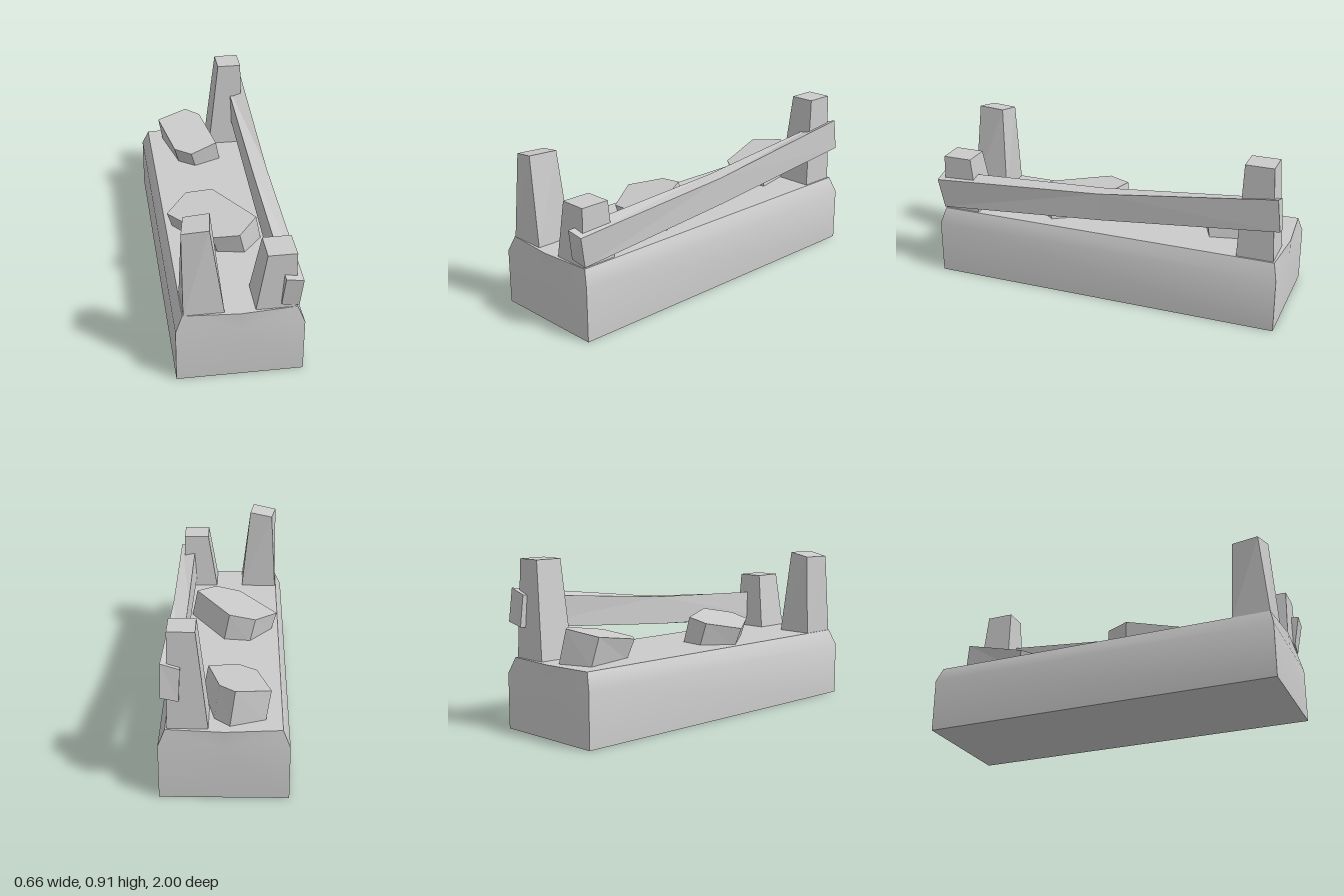
import * as THREE from 'three';
import { toCreasedNormals } from 'three/addons/utils/BufferGeometryUtils.js';

// Solid through matching loops of [x, y, z], each counterclockwise seen from the last loop's end.
// Every side quad is split along its shorter diagonal; both ends are capped.
function loft(loops) {
  const rings = loops.map(loop => loop.map(p => new THREE.Vector3(...p)));
  const out = [];
  const tri = (...pts) => pts.forEach(p => out.push(p.x, p.y, p.z));
  const n = rings[0].length;
  for (let k = 0; k < rings.length - 1; k++) {
    for (let i = 0; i < n; i++) {
      const j = (i + 1) % n;
      const a = rings[k][i], b = rings[k][j], c = rings[k + 1][j], d = rings[k + 1][i];
      if (a.distanceTo(c) < b.distanceTo(d)) { tri(a, b, c); tri(a, c, d); }
      else { tri(a, b, d); tri(b, c, d); }
    }
  }
  const first = rings[0], last = rings[rings.length - 1];
  for (let i = 1; i < n - 1; i++) {
    tri(first[0], first[i + 1], first[i]);
    tri(last[0], last[i], last[i + 1]);
  }
  const g = new THREE.BufferGeometry();
  g.setAttribute('position', new THREE.Float32BufferAttribute(out, 3));
  g.computeVertexNormals();
  return g;
}

const GROUND = 0.387;

export function createModel() {
  const group = new THREE.Group();
  const flat = new THREE.MeshStandardMaterial({ color: 0xcccccc, flatShading: true });
  const smooth = new THREE.MeshStandardMaterial({ color: 0xcccccc });
  const add = (name, geometry, material = flat) => {
    const mesh = new THREE.Mesh(geometry, material);
    mesh.name = name;
    group.add(mesh);
  };

  // Base block: bevelled long sides, top corners pulled in at both ends
  const baseLoop = (y, w, inset) => [
    [-w, y, 0.985 - inset], [0, y, 0.985], [w, y, 0.985 - inset],
    [w, y, -1 + inset], [0, y, -1], [-w, y, -1 + inset],
  ];
  add('base', toCreasedNormals(loft([
    baseLoop(0, 0.33, 0), baseLoop(0.3, 0.33, 0), baseLoop(GROUND, 0.293, 0.022),
  ]), 0.45), smooth);

  // Tapered posts: footprint rectangle up to a free top quad
  const post = (name, [x0, x1, z0, z1], top) => {
    const foot = [[x0, z1], [x1, z1], [x1, z0], [x0, z0]];
    add(name, loft([foot.map(([x, z]) => [x, GROUND - 0.01, z]), top]));
  };
  post('frontRightPost', [-0.288, -0.078, 0.757, 0.963],
    [[-0.288, 0.845, 0.92], [-0.152, 0.868, 0.943], [-0.13, 0.868, 0.787], [-0.262, 0.846, 0.77]]);
  const level = (x0, x1, z0, z1, y) => [[x0, y, z1], [x1, y, z1], [x1, y, z0], [x0, y, z0]];
  post('frontLeftPost', [0.077, 0.283, 0.757, 0.963], level(0.133, 0.282, 0.793, 0.957, 0.705));
  post('backLeftPost', [0.077, 0.283, -0.97, -0.768], level(0.137, 0.276, -0.945, -0.79, 0.908));

  // Slightly bent and twisted rail, from back to front
  add('rail', loft([
    [[0.22, 0.555, -0.995], [0.312, 0.578, -1], [0.308, 0.755, -0.98], [0.212, 0.725, -0.98]],
    [[0.216, 0.472, 0], [0.303, 0.474, 0], [0.303, 0.63, 0], [0.218, 0.632, 0]],
    [[0.207, 0.415, 0.972], [0.3, 0.397, 0.965], [0.312, 0.567, 0.995], [0.22, 0.585, 1]],
  ]));

  // Tilted six-sided rocks: top plane y = h + sx * x + sz * z, foot shifted by the tilt
  const rock = (name, outline, [h, sx, sz], [dx, dz]) => add(name, loft([
    outline.map(([x, z]) => [x + dx, GROUND - 0.01, z + dz]),
    outline.map(([x, z]) => [x, h + sx * x + sz * z, z]),
  ]));
  rock('middleRock',
    [[-0.07, 0.447], [0.075, 0.475], [0.185, 0.345], [-0.012, 0.02], [-0.16, 0.003], [-0.285, 0.16]],
    [0.535, 0.15, -0.08], [0.032, -0.018]);
  rock('backRock',
    [[-0.07, -0.475], [0.09, -0.545], [0.025, -0.84], [-0.055, -0.915], [-0.235, -0.85], [-0.165, -0.545]],
    [0.4, 0.1, -0.19], [0.028, -0.03]);

  return group;
}
